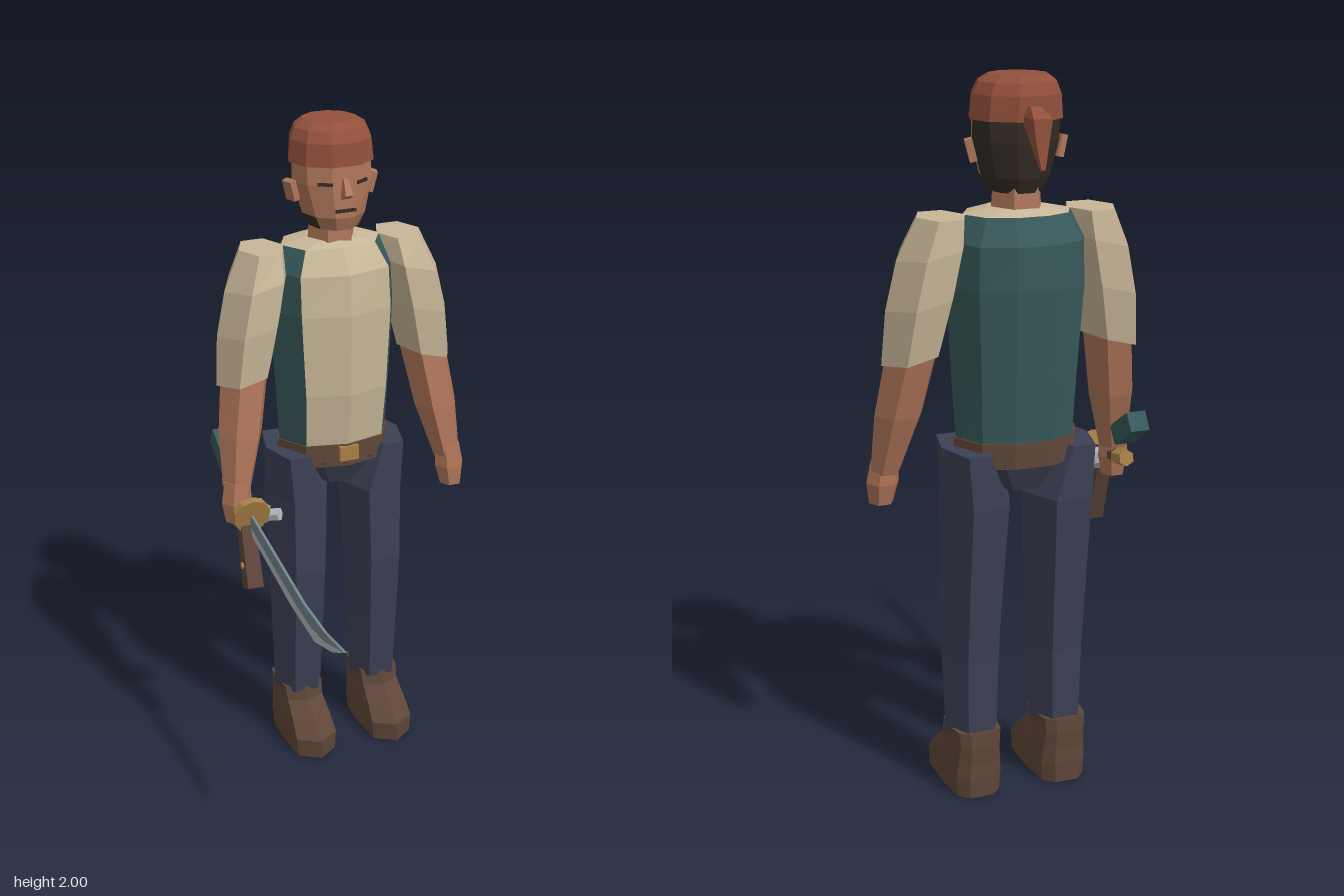
import * as THREE from 'three';

const paint = (name, color) => {
  const m = new THREE.MeshStandardMaterial({ color });
  m.name = name;
  m.flatShading = true;
  return m;
};

export function createModel() {
  const root = new THREE.Group();
  root.name = 'swordsman';
  const skin = paint('skin', 0xb0765a), red = paint('red cloth', 0x93503c), hair = paint('dark hair', 0x332b24);
  const linen = paint('linen', 0xc8b697), teal = paint('teal', 0x375859), navy = paint('navy', 0x3c4054);
  const brown = paint('brown leather', 0x5e4638), gold = paint('brass', 0xa98145);
  const slate = paint('blade steel', 0x72858d), steel = paint('bright steel', 0xb4b9ba);

  const add = (name, geo, mat, pos = [0, 0, 0], rot = [0, 0, 0]) => {
    const mesh = new THREE.Mesh(geo, mat);
    mesh.name = name;
    mesh.position.set(...pos);
    mesh.rotation.set(...rot);
    root.add(mesh);
    return mesh;
  };

  // Ring with a flat front: height, centre x, half width, front z, back z, tilt
  const ring = (n, y, cx, hw, zf, zb, tilt = 0) => Array.from({ length: n }, (_, i) => {
    const a = ((2 * i + 1) * Math.PI) / n, x = hw * Math.sin(a);
    return [cx + x, y + tilt * x, (zf + zb) / 2 + ((zf - zb) / 2) * Math.cos(a) / Math.cos(Math.PI / n)];
  });
  // Ring from a half outline (front to back), mirrored in x
  const outline = (half, y, cx, hw, zf, zb) => {
    const right = half.map(([x, z]) => [x, z]);
    const left = half.filter(([x]) => x > 0).reverse().map(([x, z]) => [-x, z]);
    return [...right, ...left].map(([x, z]) => [cx + x * hw, y, (zf + zb) / 2 + (z * (zf - zb)) / 2]);
  };
  // Skin over rings from bottom to top; pick(band, side) chooses the material index
  const loft = (name, rings, mats, pick = () => 0) => {
    const list = [].concat(mats), tris = list.map(() => []), n = rings[0].length, top = rings.length - 1;
    for (let i = 0; i < top; i++) for (let j = 0; j < n; j++) {
      const k = (j + 1) % n, a = rings[i][j], b = rings[i][k], c = rings[i + 1][k], d = rings[i + 1][j];
      tris[pick(i, j)].push(a, b, c, a, c, d);
    }
    for (let j = 1; j < n - 1; j++) {
      tris[0].push(rings[0][0], rings[0][j + 1], rings[0][j]);
      tris[0].push(rings[top][0], rings[top][j], rings[top][j + 1]);
    }
    const geo = new THREE.BufferGeometry();
    let start = 0;
    tris.forEach((t, i) => { geo.addGroup(start, t.length, i); start += t.length; });
    geo.setAttribute('position', new THREE.Float32BufferAttribute(tris.flat(2), 3));
    geo.computeVertexNormals();
    if (list.length === 1) geo.clearGroups();
    return add(name, geo, list.length === 1 ? list[0] : list);
  };
  // Straight prism between two points
  const bar = (name, p, q, r, mat, sides = 6, r2 = r) => {
    const a = new THREE.Vector3(...p), b = new THREE.Vector3(...q), d = b.clone().sub(a);
    const geo = new THREE.CylinderGeometry(r2, r, d.length(), sides);
    if (sides === 4) geo.rotateY(Math.PI / 4);
    const mesh = add(name, geo, mat, a.clone().add(b).multiplyScalar(0.5).toArray());
    mesh.quaternion.setFromUnitVectors(new THREE.Vector3(0, 1, 0), d.normalize());
    return mesh;
  };

  // Torso: shirt in front and at the collar, vest at the sides and back
  const chest = [[0, 1], [0.7, 0.76], [1, 0], [0.75, -0.72], [0.3, -1]];
  loft('torso', [
    [1.0, 0.172, -0.25, -0.49], [1.2, 0.183, -0.22, -0.505], [1.45, 0.2, -0.21, -0.522],
    [1.57, 0.197, -0.222, -0.518], [1.64, 0.155, -0.265, -0.475], [1.655, 0.08, -0.295, -0.44],
  ].map(([y, hw, f, b]) => outline(chest, y, 0, hw, f, b)), [linen, teal],
  (band, side) => (band === 4 || side === 0 || side === 8 ? 0 : 1));

  // Belt, buckle and hips
  loft('belt', [0.965, 1.035].map((y) => outline(chest, y, 0, 0.18, -0.24, -0.498)), brown);
  add('buckle', new THREE.BoxGeometry(0.06, 0.045, 0.03), gold, [0, 1.008, -0.247]);
  loft('hips', [
    ring(6, 0.89, 0, 0.075, -0.3, -0.45), ring(6, 0.98, 0, 0.16, -0.255, -0.49),
  ], navy);

  // Limbs
  const sole = [[0, 1], [0.9, 0.7], [1, -0.2], [0.9, -0.8], [0.5, -1]];
  for (const s of [1, -1]) {
    const side = s > 0 ? 'left' : 'right';
    const limb = (name, rows, mat) =>
      loft(side + name, rows.map(([y, cx, hw, f, b, t = 0]) => ring(6, y, cx * s, hw, f, b, t * s)), mat);
    limb('Leg', [
      [0.18, 0.128, 0.078, -0.295, -0.45], [0.4, 0.127, 0.087, -0.272, -0.455],
      [0.62, 0.125, 0.095, -0.25, -0.475], [0.86, 0.122, 0.103, -0.248, -0.5],
      [1.01, 0.152, 0.064, -0.25, -0.495],
    ], navy);
    loft(side + 'Boot', [
      [0, 0.07, -0.168, -0.46], [0.06, 0.074, -0.166, -0.462], [0.1, 0.07, -0.21, -0.46],
      [0.15, 0.065, -0.28, -0.463], [0.195, 0.068, -0.292, -0.46],
    ].map(([y, hw, f, b]) => outline(sole, y, 0.13 * s, hw, f, b)), brown);
    limb('Sleeve', [
      [1.268, 0.289, 0.086, -0.26, -0.43, -0.25], [1.42, 0.265, 0.1, -0.25, -0.455, -0.25],
      [1.55, 0.238, 0.098, -0.255, -0.46, -0.25], [1.64, 0.215, 0.068, -0.29, -0.45, 0],
    ], linen);
    limb('Forearm', [
      [0.93, 0.344, 0.042, -0.24, -0.315], [1.1, 0.317, 0.068, -0.25, -0.375],
      [1.29, 0.286, 0.074, -0.27, -0.42],
    ], skin);
    limb('Hand', [
      [0.84, 0.352, 0.035, -0.235, -0.295], [0.9, 0.349, 0.047, -0.232, -0.31],
      [0.965, 0.344, 0.04, -0.24, -0.31],
    ], skin);
    // Small face parts that come in pairs
    add(side + 'Ear', new THREE.BoxGeometry(0.02, 0.06, 0.04), skin, [0.125 * s, 1.805, -0.355], [0, -0.3 * s, -0.25 * s]);
    add(side + 'Eye', new THREE.BoxGeometry(0.044, 0.009, 0.008), hair, [0.056 * s, 1.835, -0.263], [0, 0.52 * s, 0]);
  }

  // Head with hair at the back and a beard along the jaw
  loft('neck', [ring(6, 1.62, 0, 0.075, -0.295, -0.44), ring(6, 1.74, 0, 0.065, -0.3, -0.43)], skin);
  loft('head', [
    [1.695, 0.072, -0.265, -0.435], [1.735, 0.094, -0.25, -0.45], [1.83, 0.122, -0.252, -0.46],
    [1.91, 0.121, -0.256, -0.462],
  ].map((r) => ring(10, r[0], 0, r[1], r[2], r[3])), [skin, hair],
  (band, j) => ((j >= 2 && j <= 6) || (band === 0 && (j === 1 || j === 7)) ? 1 : 0));
  loft('nose', [
    ring(4, 1.79, 0, 0.018, -0.25, -0.27), ring(4, 1.808, 0, 0.018, -0.216, -0.27),
    ring(4, 1.85, 0, 0.009, -0.246, -0.265),
  ], skin);
  add('mouth', new THREE.BoxGeometry(0.062, 0.009, 0.008), hair, [0, 1.757, -0.249]);

  // Head scarf with its hanging tail
  loft('headScarf', [
    [1.885, 0.129, -0.246, -0.472], [1.95, 0.122, -0.25, -0.472], [1.982, 0.108, -0.27, -0.46],
    [2.0, 0.08, -0.295, -0.445],
  ].map((r) => ring(10, r[0], 0, r[1], r[2], r[3])), red);
  loft('scarfTail', [
    ring(4, 1.77, 0, 0.008, -0.53, -0.54), ring(4, 1.84, 0, 0.026, -0.49, -0.535),
    ring(4, 1.9, 0, 0.038, -0.455, -0.535), ring(4, 1.925, 0, 0.02, -0.455, -0.49),
  ], red);

  // Sabre: slate back, bright cutting edge
  const spine = [[-0.18, 0.89], [0, 0.853], [0.24, 0.803], [0.4, 0.792], [0.54, 0.803]];
  const middle = [[0.4, 0.764], [0.3, 0.757], [0.2, 0.768], [0, 0.81], [-0.18, 0.85]];
  const edge = [[-0.18, 0.825], [0, 0.783], [0.14, 0.75], [0.325, 0.725], [0.455, 0.76], [0.54, 0.803]];
  const plate = (name, pts, mat) => {
    const geo = new THREE.ExtrudeGeometry(new THREE.Shape(pts.map((p) => new THREE.Vector2(...p))),
      { depth: 0.008, bevelEnabled: false });
    add(name, geo.rotateY(-Math.PI / 2), mat, [-0.331, 0, 0]);
  };
  plate('blade', [...spine, ...middle], slate);
  plate('bladeEdge', [...edge, ...middle], steel);
  bar('guard', [-0.335, 0.886, -0.175], [-0.335, 0.892, -0.197], 0.057, gold, 10);
  bar('sabreGrip', [-0.335, 0.885, -0.19], [-0.335, 0.915, -0.34], 0.02, brown);
  bar('pommel', [-0.335, 0.91, -0.33], [-0.335, 0.92, -0.385], 0.024, gold, 6);

  // Pistol: wooden butt, steel lock, dark barrel end
  bar('pistolButt', [-0.352, 0.675, -0.135], [-0.345, 0.88, -0.215], 0.035, brown, 4, 0.03);
  bar('buttPin', [-0.38, 0.74, -0.16], [-0.322, 0.74, -0.16], 0.01, gold);
  bar('pistolLock', [-0.345, 0.885, -0.26], [-0.28, 0.872, -0.2], 0.03, steel);
  bar('lockKnob', [-0.285, 0.87, -0.205], [-0.25, 0.88, -0.172], 0.02, steel);
  bar('pistolBarrel', [-0.335, 0.98, -0.35], [-0.335, 1.045, -0.45], 0.04, teal, 4);

  return root;
}
